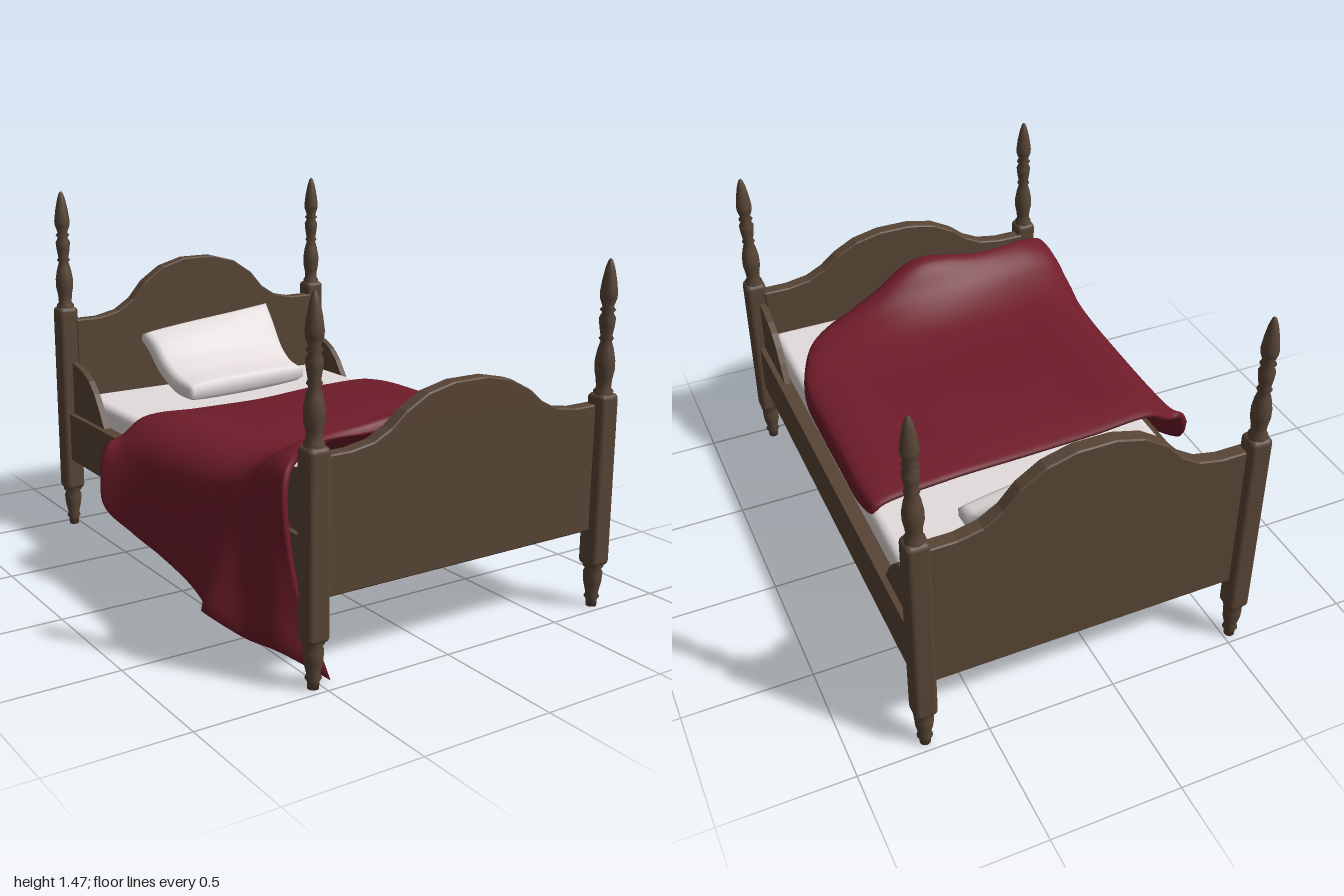
import * as THREE from 'three';
import { RoundedBoxGeometry } from 'three/addons/geometries/RoundedBoxGeometry.js';

const CX = 0.10; // bed centre line in x
const V = (x, y, z) => new THREE.Vector3(x, y, z);
const lerp = THREE.MathUtils.lerp;

function makeMaterial(name, color) {
  const m = new THREE.MeshStandardMaterial({ color });
  m.name = name;
  return m;
}

function addMesh(parent, name, geometry, material, x = 0, y = 0, z = 0) {
  const mesh = new THREE.Mesh(geometry, material);
  mesh.name = name;
  mesh.position.set(x, y, z);
  parent.add(mesh);
}

// Closed soft body: a curved sheet thickened along its normals.
// u must run toward -x and v toward +z so the normals point up.
function softBody(nu, nv, point, above, below) {
  const w = nu + 1, count = w * (nv + 1), top = [], faces = [];
  for (let i = 0; i <= nv; i++)
    for (let j = 0; j <= nu; j++) top.push(...point(j / nu, i / nv).toArray());
  for (let i = 0; i < nv; i++)
    for (let j = 0; j < nu; j++) {
      const a = i * w + j, b = a + 1, c = b + w, d = a + w;
      faces.push(a, b, c, a, c, d);
    }
  const sheet = new THREE.BufferGeometry();
  sheet.setAttribute('position', new THREE.Float32BufferAttribute(top, 3));
  sheet.setIndex(faces);
  sheet.computeVertexNormals();
  const n = sheet.attributes.normal.array, pos = [];
  for (const side of [1, -1])
    for (let k = 0; k < count; k++) {
      const u = (k % w) / nu, v = Math.floor(k / w) / nv;
      const t = side > 0 ? above(u, v) : -below(u, v);
      for (let c = 0; c < 3; c++) pos.push(top[k * 3 + c] + n[k * 3 + c] * t);
    }
  const index = [...faces];
  for (let f = 0; f < faces.length; f += 3)
    index.push(faces[f] + count, faces[f + 2] + count, faces[f + 1] + count);
  // stitch the rim
  const rim = [];
  for (let j = 0; j < nu; j++) rim.push(j);
  for (let i = 0; i < nv; i++) rim.push(i * w + nu);
  for (let j = nu; j > 0; j--) rim.push(nv * w + j);
  for (let i = nv; i > 0; i--) rim.push(i * w);
  rim.forEach((a, k) => {
    const b = rim[(k + 1) % rim.length];
    index.push(b, a, a + count, b, a + count, b + count);
  });
  const g = new THREE.BufferGeometry();
  g.setAttribute('position', new THREE.Float32BufferAttribute(pos, 3));
  g.setIndex(index);
  g.computeVertexNormals();
  return g;
}

// Turned bedpost: foot, rounded square block, turned spindle with finial
function makePost(name, blockTop, wood) {
  const post = new THREE.Group();
  post.name = name;
  const lathe = pts => new THREE.LatheGeometry(pts.map(p => new THREE.Vector2(...p)), 16);
  addMesh(post, 'turnedFoot', lathe([[0, 0.015], [0.02, 0.015], [0.021, 0.04], [0.029, 0.052], [0.023, 0.066],
    [0.033, 0.11], [0.036, 0.15], [0.029, 0.165], [0.039, 0.175], [0.036, 0.2]]), wood);
  addMesh(post, 'postBlock', new RoundedBoxGeometry(0.086, blockTop - 0.18, 0.086, 3, 0.02), wood,
    0, (blockTop + 0.18) / 2, 0);
  addMesh(post, 'spindle', lathe([[0.034, -0.01], [0.036, 0.008], [0.027, 0.02], [0.029, 0.05], [0.036, 0.085],
    [0.036, 0.12], [0.029, 0.16], [0.02, 0.19], [0.027, 0.2], [0.021, 0.21], [0.027, 0.245], [0.03, 0.275],
    [0.02, 0.295], [0.029, 0.305], [0.02, 0.316], [0.03, 0.345], [0.032, 0.365], [0.026, 0.41],
    [0.017, 0.455], [0.008, 0.482], [0, 0.49]]), wood, 0, blockTop, 0);
  return post;
}

// Arched board; half outline given from the shoulder to the crown
function boardGeometry(half) {
  const pts = [[-0.6, 0.32], ...half.map(([x, y]) => [-x, y]),
    ...half.slice().reverse(), [0.6, 0.32]];
  const shape = new THREE.Shape(pts.map(p => new THREE.Vector2(...p)));
  const g = new THREE.ExtrudeGeometry(shape, { depth: 0.046, bevelSize: 0.005, bevelThickness: 0.005,
    bevelOffset: -0.005, bevelSegments: 1 });
  return g.translate(0, 0, -0.023);
}

// Curved corner wing above a side rail (profile in z, y)
function wingGeometry(s) {
  const shape = new THREE.Shape([[0.92, 0.5], [0.92, 0.75], [0.86, 0.742], [0.8, 0.725], [0.75, 0.7],
    [0.7, 0.655], [0.66, 0.6], [0.61, 0.52], [0.6, 0.5]].map(([z, y]) => new THREE.Vector2(z * s, y)));
  return new THREE.ExtrudeGeometry(shape, { depth: 0.026, bevelEnabled: false }).rotateY(-Math.PI / 2);
}

function blanketGeometry() {
  // rows from head to foot: z, right edge x, right edge y, crest y, left y, hem x, hem y, hem z
  const rows = [
    [-0.315, 0.68, 0.58, 0.63, 0.635, -0.70, 0.50, -0.27],
    [-0.20, 0.695, 0.56, 0.645, 0.65, -0.735, 0.36, -0.18],
    [0.00, 0.695, 0.555, 0.65, 0.655, -0.70, 0.29, 0.00],
    [0.20, 0.695, 0.555, 0.65, 0.66, -0.69, 0.265, 0.20],
    [0.40, 0.69, 0.57, 0.645, 0.67, -0.68, 0.22, 0.42],
    [0.55, 0.645, 0.61, 0.665, 0.69, -0.69, 0.18, 0.55],
    [0.68, 0.575, 0.635, 0.735, 0.735, -0.77, 0.23, 0.66],
    [0.78, 0.47, 0.64, 0.84, 0.79, -0.68, 0.16, 0.77],
    [0.85, 0.33, 0.66, 0.84, 0.805, -0.62, 0.14, 0.88],
    [0.89, 0.18, 0.70, 0.79, 0.80, -0.455, 0.02, 0.945],
  ];
  const sections = rows.map(([z, xr, yr, yc, yl, hx, hy, hz]) => {
    const skew = x => z - Math.max(0, 0.3 - z) * 0.1 * Math.max(0, x + 0.2);
    const xm = Math.min(0.05, xr - 0.12), xa = lerp(xr, xm, 0.45);
    const tuck = 0.6 * Math.max(0, z - 0.79); // foot edge drawn back on the left
    return [
      V(xr, yr, skew(xr)), V(xr - 0.02, lerp(yr, Math.min(yc, 0.65), 0.85), skew(xr)),
      V(xa, lerp(0.65, yc, 0.4), skew(xa)), V(xm, yc, skew(xm) - tuck * 0.4),
      V(-0.25, lerp(yc, yl, 0.6), z - 0.01 - tuck), V(-0.49, yl, z - tuck * 0.5),
      V(-0.6, yl - 0.06, lerp(z, hz, 0.3)),
      V(-0.63 + (hx + 0.6) * 0.3, lerp(yl, hy, 0.5), lerp(z, hz, 0.7)),
      V(hx, hy, hz),
    ];
  });
  const columns = sections[0].map((_, c) => new THREE.CatmullRomCurve3(sections.map(s => s[c])));
  const cache = new Map();
  const point = (u, v) => {
    if (!cache.has(v)) cache.set(v, new THREE.CatmullRomCurve3(columns.map(c => c.getPoint(v))));
    return cache.get(v).getPoint(u);
  };
  const edge = (u, v) => Math.min(1, Math.sqrt(Math.min(u, 1 - u, v, 1 - v) * 20) + 0.6);
  return softBody(56, 56, point, (u, v) => 0.008 * edge(u, v), (u, v) => 0.02 * edge(u, v));
}

// Plump pillow leaning on the headboard, its left top corner raised
function pillowGeometry() {
  const spine = new THREE.CatmullRomCurve3([V(0, 0.885, -0.875), V(0, 0.82, -0.815), V(0, 0.73, -0.735),
    V(0, 0.672, -0.63), V(0, 0.655, -0.49)]);
  const point = (u, v) => {
    const p = spine.getPoint(v);
    const lift = (0.03 - 0.08 * u) * (1 - v) ** 2;
    return V(lerp(0.42, lerp(-0.21, -0.19, v), u), p.y + lift, p.z + 0.02 * v - 0.08 * (1 - u) * v * v);
  };
  const puff = (u, v) =>
    0.018 + 0.038 * Math.pow(Math.max(0, Math.sin(Math.PI * u) * Math.sin(Math.PI * v)), 0.25);
  return softBody(40, 36, point, puff, puff);
}

export function createModel() {
  const wood = makeMaterial('darkWood', 0x584536);
  const linen = makeMaterial('whiteLinen', 0xe4dcdc);
  const red = makeMaterial('redWool', 0x6f1c2a);
  const bed = new THREE.Group();
  bed.name = 'bed';

  // posts, side rails and corner wings
  for (const s of [1, -1]) {
    const side = s > 0 ? 'left' : 'right';
    for (const [end, z, top] of [['Foot', 0.955, 0.84], ['Head', -0.955, 0.99]]) {
      const post = makePost(side + end + 'Post', top, wood);
      post.position.set(CX + s * 0.63, 0, z);
      bed.add(post);
      addMesh(bed, side + end + 'Wing', wingGeometry(Math.sign(z)), wood, CX + s * 0.613 + 0.013, 0, 0);
    }
    addMesh(bed, side + 'Rail', new THREE.BoxGeometry(0.05, 0.205, 1.85), wood, CX + s * 0.623, 0.4225, 0);
  }

  // headboard and footboard
  addMesh(bed, 'headboard', boardGeometry([[0.6, 0.935], [0.49, 0.935], [0.4, 0.955], [0.33, 1.0], [0.27, 1.07],
    [0.18, 1.13], [0.07, 1.16]]), wood, CX, 0, -0.938);
  addMesh(bed, 'footboard', boardGeometry([[0.6, 0.8], [0.49, 0.8], [0.4, 0.815], [0.33, 0.85], [0.27, 0.9],
    [0.18, 0.948], [0.07, 0.972]]), wood, CX, 0, 0.934);

  // base and bedding
  addMesh(bed, 'bedBase', new THREE.BoxGeometry(1.2, 0.03, 1.83), wood, CX, 0.485, 0);
  addMesh(bed, 'mattress', new RoundedBoxGeometry(1.18, 0.12, 1.81, 4, 0.035), linen, CX, 0.545, -0.003);
  addMesh(bed, 'pillow', pillowGeometry(), linen);
  addMesh(bed, 'blanket', blanketGeometry(), red);
  return bed;
}
